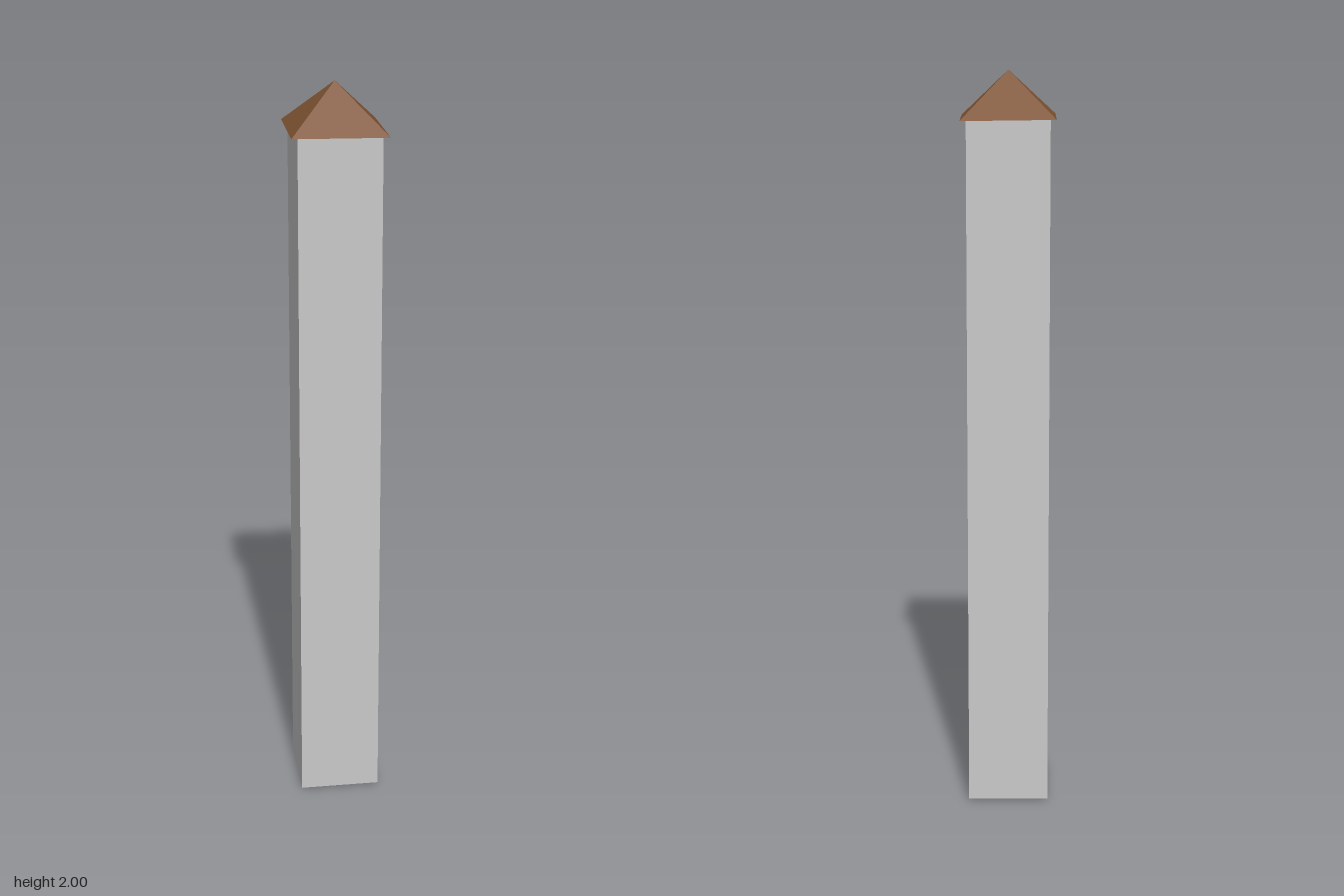
import * as THREE from 'three';

const stone = new THREE.MeshStandardMaterial({ color: 0xc9c9c9 });
stone.name = 'pale grey stone';
const wood = new THREE.MeshStandardMaterial({ color: 0x7d5231 });
wood.name = 'brown wood';

// Slightly uneven four-sided roof: an apex over hand-placed eave corners
function roofGeometry(apex, corners) {
  const points = [];
  corners.forEach((corner, i) => {
    points.push(...corner, ...corners[(i + 1) % corners.length], ...apex);
  });
  // Closed underside
  const [a, b, c, d] = corners;
  points.push(...a, ...c, ...b, ...a, ...d, ...c);
  const geometry = new THREE.BufferGeometry();
  geometry.setAttribute('position', new THREE.Float32BufferAttribute(points, 3));
  geometry.computeVertexNormals();
  return geometry;
}

export function createModel() {
  const model = new THREE.Group();
  model.name = 'roofedPillar';

  function addPart(name, geometry, material, y = 0) {
    const mesh = new THREE.Mesh(geometry, material);
    mesh.name = name;
    mesh.position.y = y;
    model.add(mesh);
  }

  // Square shaft, raised a hair above the ground by its core
  const foot = 0.005, eaves = 1.88;
  addPart('shaft', new THREE.BoxGeometry(0.218, eaves - foot, 0.218), stone, (eaves + foot) / 2);

  // Wooden core showing under the shaft
  addPart('core', new THREE.BoxGeometry(0.154, 0.1, 0.154), wood, 0.05);

  // Pyramid roof, corners counter-clockwise from above
  addPart('roof', roofGeometry([0, 2, 0], [
    [-0.126, 1.879, 0.122],
    [0.125, 1.876, 0.125],
    [0.125, 1.876, -0.127],
    [-0.124, 1.879, -0.124],
  ]), wood);

  return model;
}
